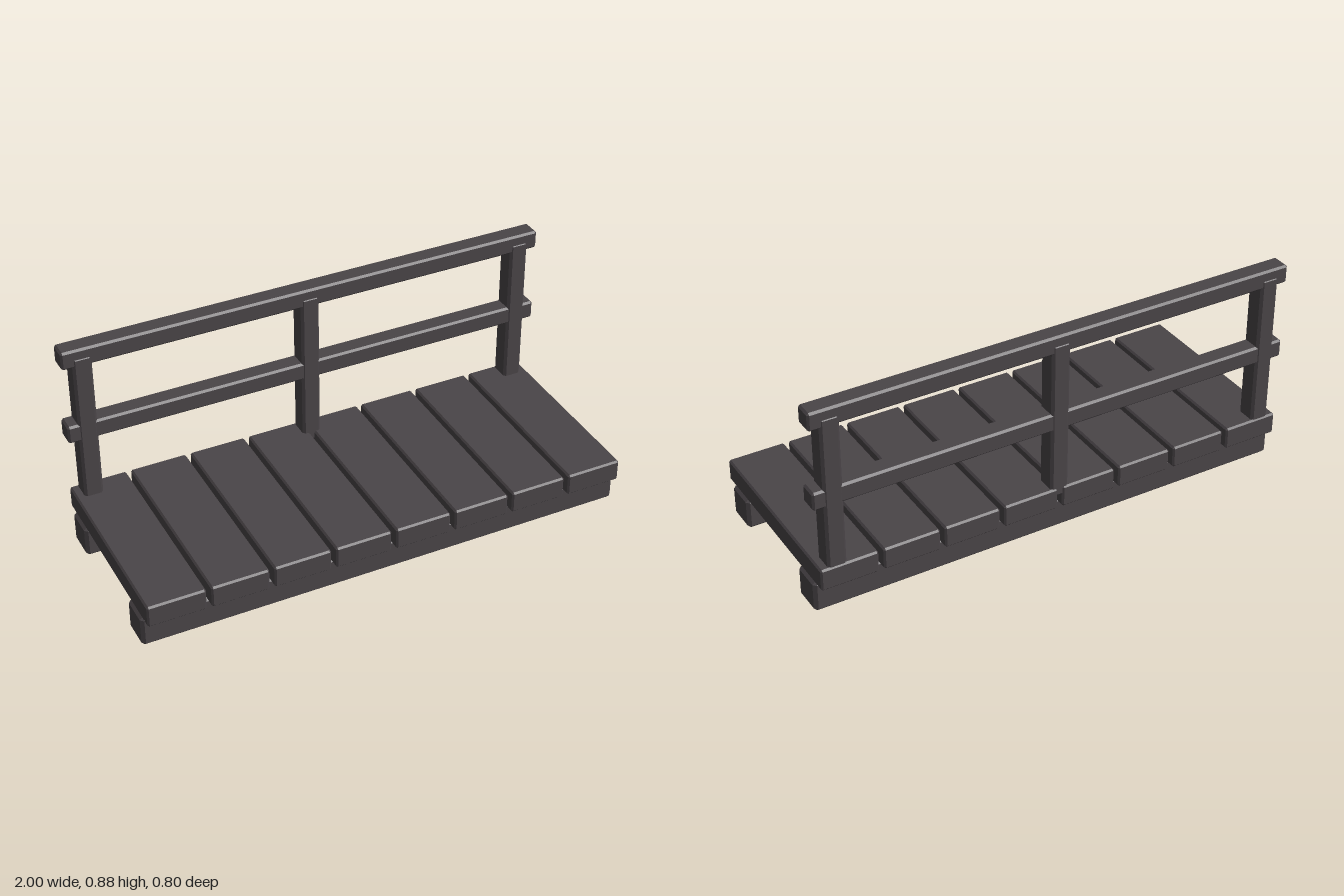
import * as THREE from 'three';
import { ConvexGeometry } from 'three/addons/geometries/ConvexGeometry.js';

// Box with flat chamfers on every edge
function chamferBox(w, h, d, c) {
  const points = [];
  for (const x of [-1, 1]) for (const y of [-1, 1]) for (const z of [-1, 1]) {
    for (let face = 0; face < 3; face++) {
      points.push(new THREE.Vector3(
        x * (w / 2 - (face === 0 ? 0 : c)),
        y * (h / 2 - (face === 1 ? 0 : c)),
        z * (d / 2 - (face === 2 ? 0 : c))));
    }
  }
  return new ConvexGeometry(points);
}

export function createModel() {
  const group = new THREE.Group();
  group.name = 'boardwalkSection';
  const wood = new THREE.MeshStandardMaterial({ color: 0x4a4548 });
  wood.name = 'darkWood';

  // Timber spanning the given ranges on each axis
  function timber(name, [x0, x1], [y0, y1], [z0, z1], chamfer) {
    const mesh = new THREE.Mesh(chamferBox(x1 - x0, y1 - y0, z1 - z0, chamfer), wood);
    mesh.position.set((x0 + x1) / 2, (y0 + y1) / 2, (z0 + z1) / 2);
    mesh.name = name;
    group.add(mesh);
  }

  // Two long bearers on the ground
  timber('frontBearer', [-1, 1], [0, 0.132], [0.221, 0.354], 0.013);
  timber('backBearer', [-1, 1], [0, 0.132], [-0.354, -0.221], 0.013);

  // Eight deck planks laid across the bearers
  for (let i = 0; i < 8; i++) {
    const x = (i - 3.5) * 0.25;
    timber('deckPlank' + (i + 1), [x - 0.115, x + 0.115], [0.124, 0.215], [-0.399, 0.399], 0.007);
  }

  // Railing posts along the back edge
  ['rightPost', 'middlePost', 'leftPost'].forEach((name, i) => {
    const x = (i - 1) * 0.92;
    timber(name, [x - 0.038, x + 0.038], [0.175, 0.84], [-0.394, -0.31], 0.01);
  });

  // Horizontal rails
  timber('middleRail', [-1, 1], [0.472, 0.547], [-0.391, -0.313], 0.008);
  timber('topRail', [-1, 1], [0.8, 0.875], [-0.391, -0.313], 0.008);

  return group;
}
